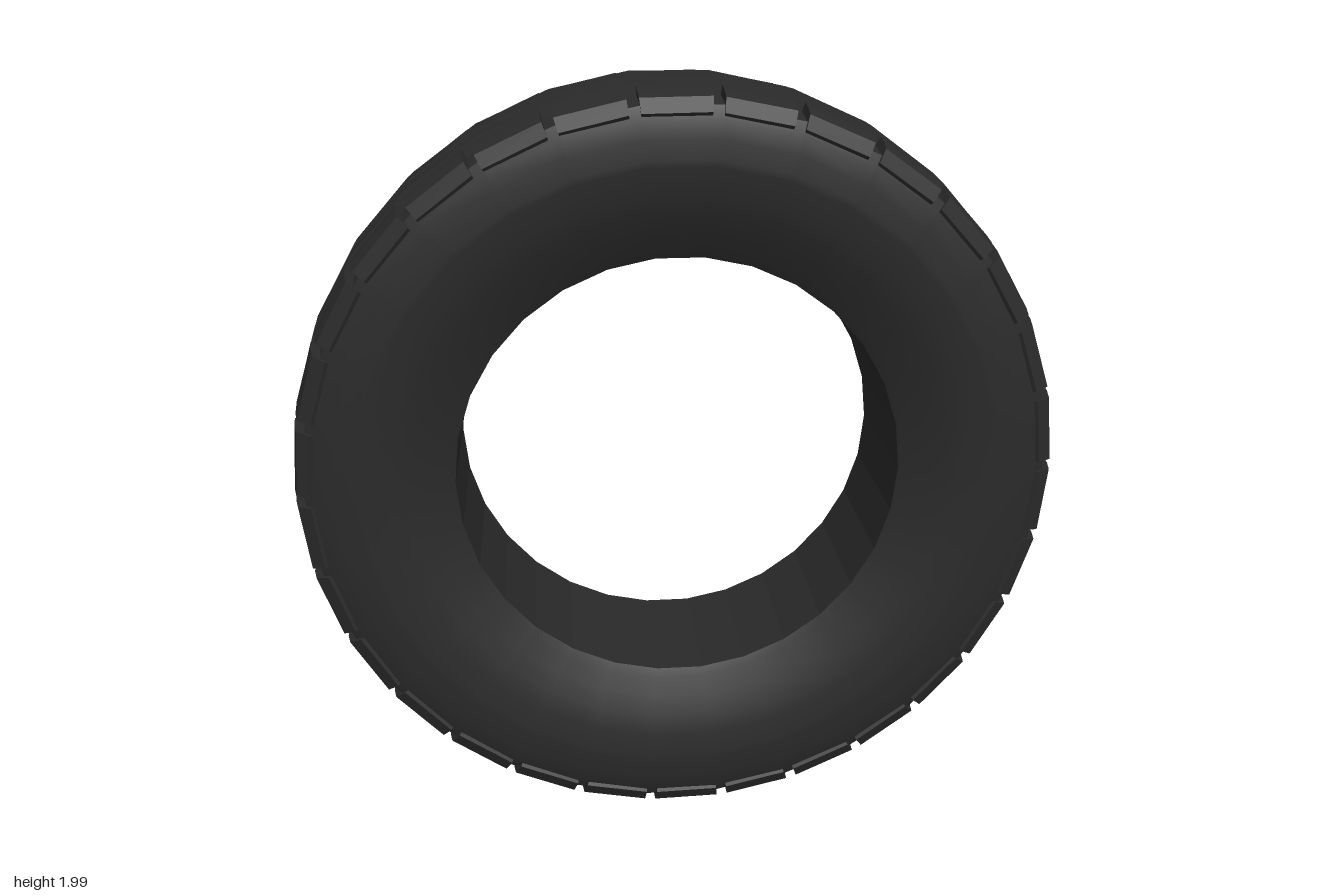
import * as THREE from 'three';
import { mergeGeometries, toCreasedNormals } from 'three/addons/utils/BufferGeometryUtils.js';

const SEGMENTS = 30;
const STEP = (Math.PI * 2) / SEGMENTS;

// Revolve [radius, z] points around the z axis, with a corner on the +x axis
function ring(points) {
  const profile = points.map(([r, z]) => new THREE.Vector2(r, z));
  const geo = new THREE.LatheGeometry(profile, SEGMENTS, STEP / 2);
  return geo.rotateX(Math.PI / 2);
}

// Prism with a [radius, z] section swept between two angles
function treadBlock(section, a0, a1) {
  const n = section.length;
  const pos = [];
  for (const a of [a0, a1]) {
    for (const [r, z] of section) pos.push(r * Math.cos(a), r * Math.sin(a), z);
  }
  const index = [];
  for (let i = 0; i < n; i++) {
    const j = (i + 1) % n;
    index.push(i, n + j, j, i, n + i, n + j);
  }
  for (let i = 1; i < n - 1; i++) index.push(0, i, i + 1, n, n + i + 1, n + i);
  const geo = new THREE.BufferGeometry();
  geo.setAttribute('position', new THREE.Float32BufferAttribute(pos, 3));
  geo.setIndex(index);
  const faceted = geo.toNonIndexed();
  faceted.computeVertexNormals();
  return faceted;
}

export function createModel() {
  const rubber = new THREE.MeshStandardMaterial({ color: 0x2a2a2a });
  rubber.name = 'black rubber';
  const white = new THREE.MeshStandardMaterial({ color: 0xcbcbc8 });
  white.name = 'whitewall';

  const group = new THREE.Group();
  group.name = 'tire';
  const tire = new THREE.Group();
  tire.name = 'tireBody';
  tire.position.y = 0.998;
  group.add(tire);
  const add = (name, geo, material) => {
    const mesh = new THREE.Mesh(geo, material);
    mesh.name = name;
    tire.add(mesh);
  };

  // Centre tread: three ribs with four grooves, then the shoulder floor
  const half = [
    [1.0, 0.038], [0.97, 0.038], [0.97, 0.058], [0.998, 0.058],
    [0.994, 0.13], [0.966, 0.13], [0.966, 0.157], [0.955, 0.25],
  ];
  const mirrored = half.map(([r, z]) => [r, -z]).reverse();
  add('tread', toCreasedNormals(ring([...mirrored, ...half]), 0.4), rubber);

  // Sidewalls bulge out and then dip in to the bead
  const wall = [
    [0.955, 0.25], [0.925, 0.266], [0.88, 0.275], [0.83, 0.28], [0.814, 0.28],
    [0.75, 0.273], [0.7, 0.258], [0.652, 0.237], [0.6, 0.212], [0.58, 0.2],
  ];
  add('frontSidewall', ring(wall), rubber);

  // Back sidewall carries a white band
  const backWall = wall.map(([r, z]) => [r, -z]).reverse();
  const backGeo = ring(backWall);
  const bands = backWall.length - 1;
  for (let s = 0; s < SEGMENTS; s++) {
    const start = s * bands * 6;
    backGeo.addGroup(start, 12, 0);
    backGeo.addGroup(start + 12, 18, 1);
    backGeo.addGroup(start + 30, (bands - 5) * 6, 0);
  }
  add('backSidewall', backGeo, [rubber, white]);

  // Inner face of the bead, faceted
  add('innerRim', toCreasedNormals(ring([[0.58, 0.2], [0.58, -0.2]]), 0.1), rubber);

  // Shoulder blocks, one per segment on each side
  const front = [[0.94, 0.157], [0.99, 0.157], [0.984, 0.205], [0.973, 0.25], [0.938, 0.268], [0.92, 0.255]];
  const back = front.map(([r, z]) => [r, -z]).reverse();
  for (const [name, section] of [['frontShoulderBlocks', front], ['backShoulderBlocks', back]]) {
    const blocks = [];
    for (let i = 0; i < SEGMENTS; i++) {
      blocks.push(treadBlock(section, i * STEP + 0.03, (i + 1) * STEP));
    }
    add(name, mergeGeometries(blocks), rubber);
  }

  // Short raised radial ridges on the back sidewall, top and bottom
  const ridges = [];
  for (const [from, to] of [[-24, -6], [-2, 24], [148, 180], [190, 214]]) {
    for (let deg = from; deg <= to; deg += 2) {
      const ridge = new THREE.BoxGeometry(0.016, 0.048, 0.016);
      ridge.translate(0, 0.912, -0.268);
      ridge.rotateZ(THREE.MathUtils.degToRad(deg));
      ridges.push(ridge);
    }
  }
  add('sidewallRidges', mergeGeometries(ridges), rubber);

  return group;
}
